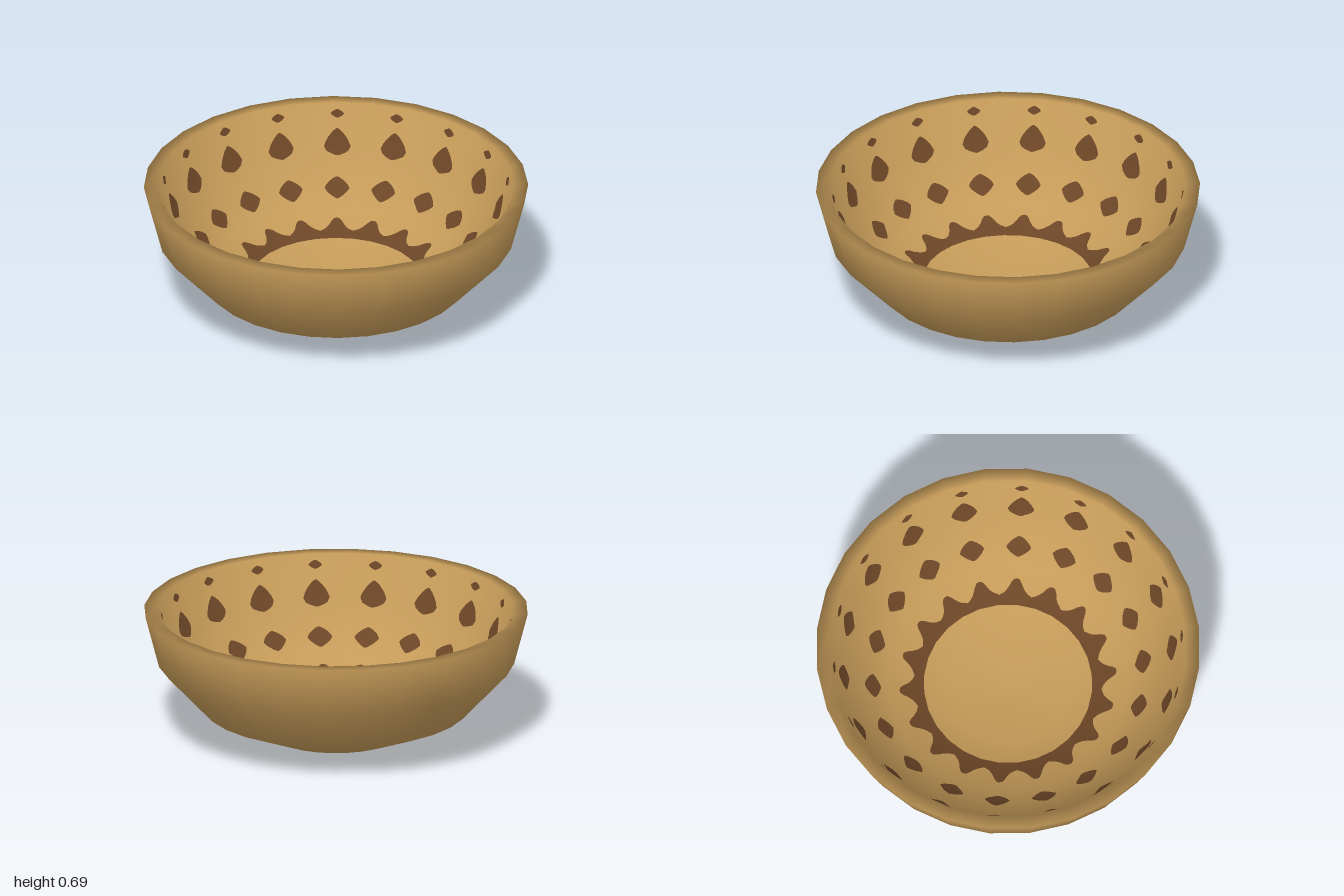
import * as THREE from 'three';
import { mergeGeometries } from 'three/addons/utils/BufferGeometryUtils.js';

const SIDES = 28, REPEATS = 18, LIFT = 0.004;

// Wall profiles as [radius, height], both from the centre outwards
const outer = [[0, 0], [0.35, 0.02], [0.69, 0.16], [0.93, 0.42], [1, 0.69]];
const inner = [[0, 0.085], [0.32, 0.1], [0.63, 0.225], [0.855, 0.45], [0.93, 0.69]];

// Smooth inward normals [radial, up] of the inner profile
const innerNormals = inner.map((p, i) => {
  const a = inner[Math.max(i - 1, 0)], b = inner[Math.min(i + 1, inner.length - 1)];
  const l = Math.hypot(b[0] - a[0], b[1] - a[1]);
  return [-(b[1] - a[1]) / l, (b[0] - a[0]) / l];
});

// Point and normal on the faceted inner wall at a given radius and angle
function onInnerWall(radius, angle) {
  let i = 0;
  while (i < inner.length - 2 && radius > inner[i + 1][0]) i++;
  const [a, b] = [inner[i], inner[i + 1]], [m, n] = [innerNormals[i], innerNormals[i + 1]];
  const t = (radius - a[0]) / (b[0] - a[0]);
  const nr = THREE.MathUtils.lerp(m[0], n[0], t), ny = THREE.MathUtils.lerp(m[1], n[1], t);
  const step = (2 * Math.PI) / SIDES;
  const local = angle - (Math.floor(angle / step) + 0.5) * step;
  const r = radius * Math.cos(step / 2) / Math.cos(local);
  const normal = new THREE.Vector3(nr * Math.sin(angle), ny, nr * Math.cos(angle)).normalize();
  const y = THREE.MathUtils.lerp(a[1], b[1], t);
  const point = new THREE.Vector3(r * Math.sin(angle), y, r * Math.cos(angle)).addScaledVector(normal, LIFT);
  return { point, normal };
}

// Thin painted patch on the inner wall; place(u, v) returns [radius, angle]
function patch(cols, rows, place) {
  const pos = [], nor = [], index = [];
  for (let i = 0; i <= cols; i++) {
    for (let j = 0; j <= rows; j++) {
      const { point, normal } = onInnerWall(...place(i / cols, j / rows));
      pos.push(...point.toArray());
      nor.push(...normal.toArray());
      if (i < cols && j < rows) {
        const a = i * (rows + 1) + j, b = a + rows + 1;
        index.push(a, a + 1, b, b, a + 1, b + 1);
      }
    }
  }
  const g = new THREE.BufferGeometry();
  g.setAttribute('position', new THREE.Float32BufferAttribute(pos, 3));
  g.setAttribute('normal', new THREE.Float32BufferAttribute(nor, 3));
  g.setIndex(index);
  return g;
}

// Ring of softened diamonds: centre radius, half width, half extent in radius
function diamondRing(radius, halfWidth, halfRadial) {
  const list = [];
  for (let k = 0; k < REPEATS; k++) {
    const centre = (k / REPEATS) * 2 * Math.PI;
    list.push(patch(12, 6, (u, v) => {
      const s = 2 * u - 1;
      const h = Math.pow(Math.max(0, 1 - Math.pow(Math.abs(s), 1.3)), 1 / 1.3);
      return [radius + halfRadial * h * (2 * v - 1), centre + (s * halfWidth) / radius];
    }));
  }
  return mergeGeometries(list);
}

export function createModel() {
  const clay = new THREE.MeshStandardMaterial({ color: 0xc49a58 });
  clay.name = 'tan clay';
  const paint = new THREE.MeshStandardMaterial({ color: 0x6b4526 });
  paint.name = 'brown paint';

  const group = new THREE.Group();
  group.name = 'bowl';
  const add = (name, geometry, material) => {
    const mesh = new THREE.Mesh(geometry, material);
    mesh.name = name;
    group.add(mesh);
  };

  // Bowl body: up the outside, over the rim, down the inside
  const profile = [...outer, ...[...inner].reverse()].map(([r, y]) => new THREE.Vector2(r, y));
  add('bowlBody', new THREE.LatheGeometry(profile, SIDES), clay);

  // Toothed band around the floor
  const toothCurve = [[0, 0.57], [0.1, 0.565], [0.2, 0.53], [0.32, 0.505], [0.5, 0.49]];
  const bandEdge = (f) => {
    const d = Math.abs(f - Math.round(f));
    let i = 0;
    while (i < toothCurve.length - 2 && d > toothCurve[i + 1][0]) i++;
    const [a, b] = [toothCurve[i], toothCurve[i + 1]];
    return THREE.MathUtils.mapLinear(d, a[0], b[0], a[1], b[1]);
  };
  add('toothedBand', patch(REPEATS * 14, 3, (u, v) =>
    [THREE.MathUtils.lerp(0.44, bandEdge(u * REPEATS), v), u * 2 * Math.PI]), paint);

  // Painted diamonds climbing the inner wall
  add('lowerDiamonds', diamondRing(0.71, 0.066, 0.043), paint);
  add('middleDiamonds', diamondRing(0.862, 0.07, 0.028), paint);
  add('upperDiamonds', diamondRing(0.913, 0.036, 0.007), paint);

  return group;
}
